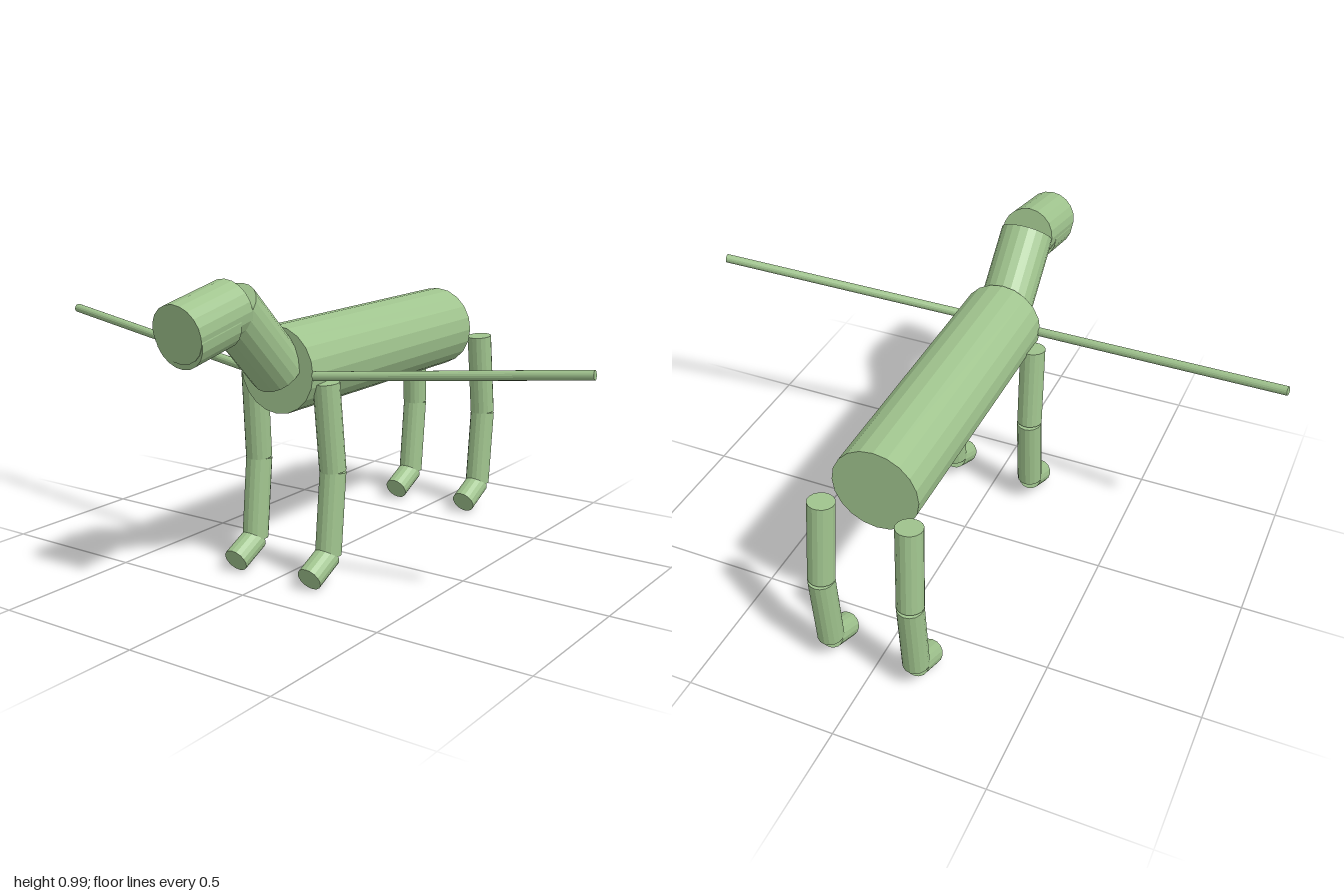
import * as THREE from 'three';

const UP = new THREE.Vector3(0, 1, 0);

export function createModel() {
  const model = new THREE.Group();
  const green = new THREE.MeshStandardMaterial({ color: 0xa0c48e, flatShading: true });
  green.name = 'softGreen';

  // Capped cylinder running from point a to point b
  function rod(name, a, b, radius, sides, parent = model) {
    const start = new THREE.Vector3(...a);
    const end = new THREE.Vector3(...b);
    const dir = end.clone().sub(start);
    const mesh = new THREE.Mesh(
      new THREE.CylinderGeometry(radius, radius, dir.length(), sides), green);
    mesh.name = name;
    mesh.position.copy(start).add(end).multiplyScalar(0.5);
    mesh.quaternion.setFromUnitVectors(UP, dir.normalize());
    parent.add(mesh);
  }

  // Trunk, neck and head
  rod('body', [0, 0.686, -0.652], [0, 0.686, 0.316], 0.14, 20);
  rod('neck', [0, 0.69, 0.313], [0, 0.912, 0.537], 0.089, 20);
  rod('head', [0, 0.909, 0.539], [0, 0.863, 0.767], 0.09, 20);
  rod('jaw', [0, 0.88, 0.589], [0, 0.845, 0.761], 0.088, 20);

  for (const side of [-1, 1]) {
    const label = side > 0 ? 'left' : 'right';

    // Thin pole reaching out and slightly back from the shoulder
    rod(label + 'WingPole', [side * 0.14, 0.682, 0.311], [side * 0.999, 0.77, 0.185], 0.0148, 16);

    // Jointed legs: the rear pair repeats the front pair at the other end of the body
    for (const [end, dz] of [['Front', 0], ['Rear', -0.968]]) {
      const leg = new THREE.Group();
      leg.name = label + end + 'Leg';
      leg.position.z = dz;
      const top = side * 0.141, low = side * 0.148;
      rod('upperLeg', [top, 0.653, 0.248], [low, 0.366, 0.223], 0.043, 16, leg);
      rod('lowerLeg', [low, 0.362, 0.222], [low, 0.095, 0.248], 0.043, 16, leg);
      rod('foot', [low, 0.09, 0.25], [low, 0.04, 0.352], 0.042, 16, leg);
      model.add(leg);
    }
  }

  return model;
}
